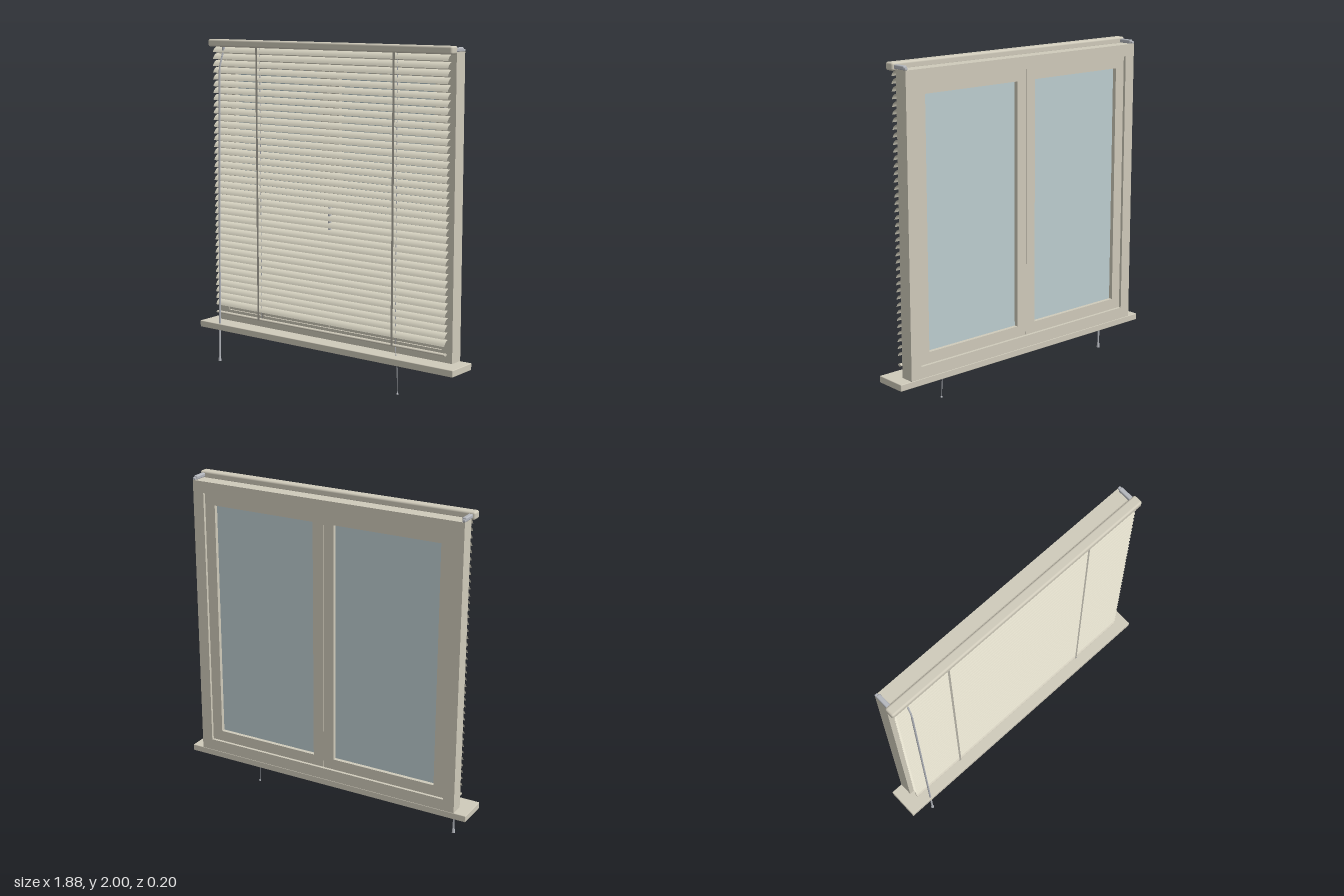
import * as THREE from 'three';
import { RoundedBoxGeometry } from 'three/addons/geometries/RoundedBoxGeometry.js';

const mat = (color, side = THREE.FrontSide) => new THREE.MeshStandardMaterial({ color, side });
const V = (x, y, z) => new THREE.Vector3(x, y, z);

export function createModel() {
  const model = new THREE.Group();
  const wood = mat(0xcfcaba);
  const slatMat = mat(0xdedac8, THREE.DoubleSide);
  const tapeMat = mat(0xb5b2a6, THREE.DoubleSide);
  const metal = mat(0xb4b7bd);
  const glassMat = mat(0xbccdd0);

  const add = (name, geometry, material, x = 0, y = 0, z = 0, parent = model) => {
    const mesh = new THREE.Mesh(geometry, material);
    mesh.name = name;
    mesh.position.set(x, y, z);
    parent.add(mesh);
    return mesh;
  };

  const rectangle = (target, x0, x1, y0, y1) => {
    target.moveTo(x0, y0);
    target.lineTo(x1, y0);
    target.lineTo(x1, y1);
    target.lineTo(x0, y1);
    target.closePath();
    return target;
  };

  // Rectangular ring with a border, extruded from z0 to z1
  const ring = (x0, x1, y0, y1, border, z0, z1) => {
    const shape = rectangle(new THREE.Shape(), x0, x1, y0, y1);
    shape.holes.push(rectangle(new THREE.Path(), x0 + border, x1 - border, y0 + border, y1 - border));
    const geometry = new THREE.ExtrudeGeometry(shape, { depth: z1 - z0, bevelEnabled: false });
    return geometry.translate(0, 0, z0);
  };

  const tube = (points, radius, segments = 24, sides = 8) =>
    new THREE.TubeGeometry(new THREE.CatmullRomCurve3(points, false, 'centripetal'), segments, radius, sides);

  // Sill and fixed window frame
  add('sill', new RoundedBoxGeometry(1.88, 0.04, 0.196, 2, 0.004), wood, 0, 0.22, 0.002);
  add('windowFrame', ring(-0.865, 0.865, 0.24, 1.967, 0.07, -0.096, -0.012), wood);

  // Two sashes with panes, set back from the frame's outer face
  for (const side of [-1, 1]) {
    const sash = new THREE.Group();
    sash.name = side > 0 ? 'leftSash' : 'rightSash';
    model.add(sash);
    const inner = 0.0015 * side, outer = 0.793 * side;
    const x0 = Math.min(inner, outer), x1 = Math.max(inner, outer);
    add('sashFrame', ring(x0, x1, 0.312, 1.895, 0.066, -0.082, -0.018), wood, 0, 0, 0, sash);
    add('pane', new THREE.BoxGeometry(0.67, 1.46, 0.012), glassMat, 0.397 * side, 1.1035, -0.052, sash);
    for (const y of [0.55, 1.66])
      add('hinge', new THREE.CylinderGeometry(0.008, 0.008, 0.06, 10), metal, 0.793 * side, y, -0.012, sash);
  }

  // Window handle: short neck, bend and grip
  add('handlePlate', new RoundedBoxGeometry(0.03, 0.08, 0.008, 2, 0.003), metal, 0.03, 1.045, -0.015);
  add('handle', tube([V(0.03, 1.047, -0.015), V(0.03, 1.047, 0.003), V(0.03, 1.04, 0.014),
    V(0.03, 1.022, 0.019), V(0.03, 0.915, 0.019)], 0.011, 24, 12), metal);
  add('handleTip', new THREE.SphereGeometry(0.011, 12, 8), metal, 0.03, 0.915, 0.019);

  // Head rail on two bracket arms
  add('headRail', new RoundedBoxGeometry(1.76, 0.045, 0.06, 4, 0.012), wood, 0, 1.9775, 0.03);
  for (const side of [-1, 1]) {
    add('bracketArm', new RoundedBoxGeometry(0.026, 0.024, 0.085, 3, 0.007), metal, 0.855 * side, 1.978, -0.04);
    add('bracketFoot', new RoundedBoxGeometry(0.018, 0.014, 0.03, 2, 0.004), metal, 0.858 * side, 1.974, -0.081);
  }

  // Curved, tilted slats with the front edge low
  const slat = new THREE.PlaneGeometry(1.7, 1, 1, 6);
  const p = slat.attributes.position;
  for (let i = 0; i < p.count; i++) {
    const v = p.getY(i);
    const crown = 0.004 * (1 - 4 * v * v);
    p.setY(i, v * 0.034 + crown);
    p.setZ(i, -v * 0.034 + crown);
  }
  slat.computeVertexNormals();
  const slats = new THREE.Group();
  slats.name = 'slats';
  model.add(slats);
  for (let i = 0; i < 39; i++) add('slat', slat, slatMat, 0, 1.938 - i * 0.0414, 0.032, slats);

  // Bottom rail with an oval section
  const rail = new THREE.CylinderGeometry(0.5, 0.5, 1.7, 20).rotateZ(Math.PI / 2).scale(1, 0.015, 0.027);
  add('bottomRail', rail, wood, 0, 0.299, 0.034);

  // Ladder tapes before and behind the slats, and the lift cords
  for (const side of [-1, 1]) {
    for (const z of [0.014, 0.053])
      add('ladderTape', new THREE.PlaneGeometry(0.014, 1.66), tapeMat, 0.498 * side, 1.127, z);
    add('liftCord', new THREE.CylinderGeometry(0.002, 0.002, 1.66, 6), metal,
      side > 0 ? 0.511 : -0.486, 1.127, 0.034);
  }

  // Hanging pull cord and its knob
  add('pullCord', tube([V(0.511, 0.3, 0.034), V(0.52, 0.25, 0.04), V(0.531, 0.19, 0.046),
    V(0.54, 0.025, 0.05)], 0.0022, 20, 6), metal);
  add('pullKnob', new THREE.SphereGeometry(0.0065, 12, 8), metal, 0.54, 0.022, 0.05);

  // Tilt wand: hook, sloping link, long rod and end grip
  add('wandHook', new THREE.CylinderGeometry(0.009, 0.009, 0.022, 10), metal, -0.772, 1.945, 0.036);
  add('wandLink', tube([V(-0.772, 1.94, 0.036), V(-0.773, 1.92, 0.042), V(-0.776, 1.84, 0.067),
    V(-0.777, 1.81, 0.071)], 0.005), metal);
  add('wand', tube([V(-0.777, 1.815, 0.071), V(-0.787, 0.03, 0.09)], 0.006, 2), metal);
  add('wandGrip', new THREE.CylinderGeometry(0.007, 0.01, 0.028, 12), metal, -0.787, 0.014, 0.09);

  return model;
}
